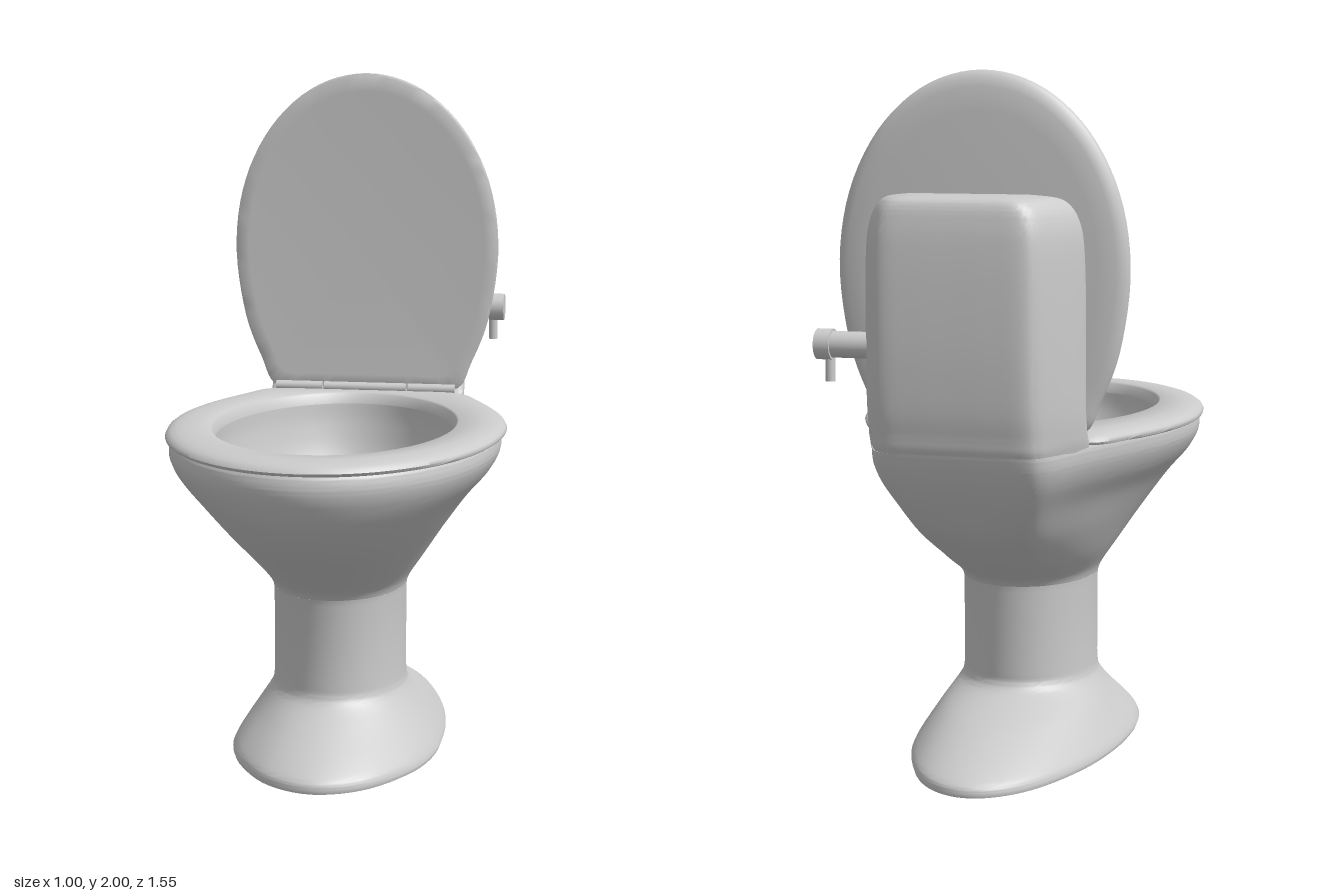
import * as THREE from 'three';
import { toCreasedNormals } from 'three/addons/utils/BufferGeometryUtils.js';

const HALF = 48; // steps along one half of a ring
const V2 = (a) => new THREE.Vector2(a[0], a[1]);
const material = new THREE.MeshStandardMaterial({ color: 0xcccccc });

// Half outline of [x, z] points, front to back, sampled as a curve that stays smooth across the mirror line
function sample(points) {
  const n = points.length;
  const mirror = ([x, z]) => [-x, z];
  const curve = new THREE.SplineCurve([mirror(points[1]), ...points, mirror(points[n - 2])].map(V2));
  return Array.from({ length: HALF + 1 }, (_, i) => curve.getPoint((1 + ((n - 1) * i) / HALF) / (n + 1)));
}
const circle = Array.from({ length: HALF + 1 }, (_, i) => {
  const a = (Math.PI * i) / HALF;
  return new THREE.Vector2(Math.sin(a), Math.cos(a));
});
// Unit circle pushed toward an outline by k, direction by direction
const blend = (outline, k) => outline.map((p) => p.clone().normalize().lerp(p, k));

// Mirrors a half outline into a closed ring at height y
function ring(half, y, sx = 1, sz = 1, z0 = 0) {
  const right = half.map((p) => new THREE.Vector3(p.x * sx, y, z0 + p.y * sz));
  const left = right.slice(1, -1).reverse().map((p) => new THREE.Vector3(-p.x, y, p.z));
  return [...right, ...left];
}

// Ring fitted between a front and a back z
const fit = (half, [y, w, front, back]) => ring(half, y, w, (front - back) / 2, (front + back) / 2);

// Smooth interpolation of [y, halfWidth, front, back] rows
function refine(rows, n) {
  const a = new THREE.SplineCurve(rows.map((r) => V2([r[0], r[1]]))).getPoints(n);
  const b = new THREE.SplineCurve(rows.map((r) => V2([r[2], r[3]]))).getPoints(n);
  return a.map((p, i) => [p.x, p.y, b[i].x, b[i].y]);
}

// Skin through rings, with optional end caps
function loft(name, rings, { start = false, end = false, crease = 0.8 } = {}) {
  const n = rings[0].length;
  const pos = [];
  const index = [];
  rings.forEach((r) => r.forEach((p) => pos.push(p.x, p.y, p.z)));
  for (let k = 0; k < rings.length - 1; k++) {
    for (let i = 0; i < n; i++) {
      const j = (i + 1) % n;
      const a = k * n + i, b = k * n + j, c = a + n, d = b + n;
      index.push(a, b, d, a, d, c);
    }
  }
  const cap = (k, flip) => {
    const mid = new THREE.Vector3();
    rings[k].forEach((p) => mid.addScaledVector(p, 1 / n));
    const m = pos.length / 3;
    pos.push(mid.x, mid.y, mid.z);
    for (let i = 0; i < n; i++) {
      const a = k * n + i, b = k * n + ((i + 1) % n);
      if (flip) index.push(m, b, a);
      else index.push(m, a, b);
    }
  };
  if (start) cap(0, true);
  if (end) cap(rings.length - 1, false);
  const geo = new THREE.BufferGeometry();
  geo.setAttribute('position', new THREE.Float32BufferAttribute(pos, 3));
  geo.setIndex(index);
  const mesh = new THREE.Mesh(toCreasedNormals(geo, crease), material);
  mesh.name = name;
  return mesh;
}

function rod(name, radius, length, x, y, z, alongX = true) {
  const geo = new THREE.CylinderGeometry(radius, radius, length, 24);
  if (alongX) geo.rotateZ(Math.PI / 2);
  const mesh = new THREE.Mesh(geo, material);
  mesh.position.set(x, y, z);
  mesh.name = name;
  return mesh;
}

export function createModel() {
  const group = new THREE.Group();
  group.name = 'toilet';

  // Foot, broad in front and narrow behind, flaring out of an elliptical column
  const sole = sample([
    [0, 1], [0.46, 0.9], [0.81, 0.65], [0.96, 0.42], [1, 0.18],
    [0.97, -0.1], [0.85, -0.42], [0.61, -0.74], [0.33, -0.93], [0, -1],
  ]);
  const foot = refine([
    [0.015, 0.315, 0.555, -0.69], [0.035, 0.305, 0.545, -0.675], [0.07, 0.283, 0.49, -0.59],
    [0.12, 0.25, 0.4, -0.44], [0.17, 0.217, 0.315, -0.275], [0.2, 0.202, 0.288, -0.228],
    [0.24, 0.198, 0.285, -0.225],
  ], 36);
  const column = [[0.48, 0.198, 0.285, -0.225], [0.5, 0.2, 0.29, -0.228]];
  group.add(loft('pedestal', [[0, 0.31, 0.55, -0.685], ...foot, ...column].map(
    (r) => fit(blend(sole, 1 - THREE.MathUtils.smoothstep(r[0], 0.03, 0.2)), r),
  ), { start: true }));

  // Bowl shell: ellipse at the column blending to an egg with a squared back at the rim
  const egg = sample([
    [0, 1], [0.38, 0.93], [0.71, 0.736], [0.925, 0.444], [1, 0.1], [0.93, -0.22], [0.79, -0.48],
    [0.636, -0.732], [0.545, -0.895], [0.483, -0.967], [0.4, -0.996], [0.2, -1], [0, -1],
  ]);
  const shell = refine([
    [0.5, 0.2, 0.29, -0.228], [0.53, 0.213, 0.318, -0.262], [0.6, 0.26, 0.43, -0.405],
    [0.7, 0.325, 0.595, -0.565], [0.8, 0.395, 0.71, -0.655], [0.87, 0.455, 0.757, -0.703],
    [0.92, 0.482, 0.775, -0.728], [0.955, 0.485, 0.773, -0.74], [0.97, 0.481, 0.766, -0.744],
  ], 48);
  const shellRings = shell.map((r) => fit(blend(egg, THREE.MathUtils.smoothstep(r[0], 0.48, 0.82)), r));
  // Hollow narrowing to a rounded drain
  const basin = refine([
    [0.972, 0.35, 0.625, -0.375], [0.9, 0.345, 0.61, -0.365], [0.8, 0.315, 0.55, -0.335],
    [0.68, 0.235, 0.4, -0.265], [0.58, 0.145, 0.22, -0.185], [0.53, 0.105, 0.125, -0.15],
    [0.46, 0.095, 0.11, -0.14], [0.4, 0.075, 0.06, -0.13], [0.36, 0.025, -0.01, -0.08],
  ], 48);
  group.add(loft('bowl', [...shellRings, ...basin.map((r) => fit(blend(egg, 0), r))], { end: true }));

  // Tank rising out of the back of the bowl
  const tankOutline = sample([
    [0, 1], [0.5, 1], [0.92, 0.99], [1, 0.85], [0.975, 0.45], [0.92, 0.05],
    [0.83, -0.45], [0.74, -0.82], [0.62, -0.975], [0.35, -1], [0, -1],
  ]);
  const tank = refine([
    [0.9, 0.295, -0.46, -0.7], [0.97, 0.31, -0.475, -0.744], [1.02, 0.311, -0.503, -0.755],
    [1.1, 0.311, -0.518, -0.767], [1.25, 0.311, -0.52, -0.775], [1.42, 0.31, -0.521, -0.775],
    [1.54, 0.305, -0.524, -0.77], [1.6, 0.292, -0.53, -0.763], [1.638, 0.27, -0.541, -0.754],
    [1.658, 0.238, -0.562, -0.738], [1.667, 0.17, -0.6, -0.7],
  ], 60);
  group.add(loft('tank', tank.map((r) => fit(tankOutline, r)), { end: true, crease: 1.2 }));

  // Seat ring with a domed outer edge
  const seatOutline = sample([
    [0, 0.775], [0.191, 0.722], [0.354, 0.571], [0.462, 0.346], [0.5, 0.08], [0.465, -0.15],
    [0.385, -0.35], [0.315, -0.465], [0.15, -0.478], [0, -0.478],
  ]);
  const outer = (y, s) => ring(seatOutline, y, s, s, 0.1 * (1 - s));
  const inner = (y, s) => ring(circle, y, 0.355 * s, 0.505 * s, 0.125);
  group.add(loft('seat', [
    inner(0.968, 1), outer(0.968, 0.985), outer(0.972, 0.997), outer(0.978, 1), outer(0.986, 0.992),
    outer(0.994, 0.97), outer(1, 0.935), outer(1.003, 0.88), inner(1.003, 1.015), inner(0.998, 1),
    inner(0.968, 0.98),
  ]));

  // Raised lid, modelled flat and swung upright, with a domed back
  const lidOutline = sample([
    [0, 1], [0.161, 0.959], [0.297, 0.842], [0.388, 0.667], [0.42, 0.46],
    [0.393, 0.24], [0.338, 0.09], [0.29, 0.005], [0.15, 0], [0, 0],
  ]);
  const lidRing = (y, s) => ring(lidOutline, y, s, s, 0.45 * (1 - s));
  const lid = loft('lid', [
    lidRing(0.002, 0.9), lidRing(0, 0.985), lidRing(0.004, 0.998), lidRing(0.012, 1), lidRing(0.022, 0.99),
    lidRing(0.032, 0.965), lidRing(0.039, 0.92), lidRing(0.043, 0.8),
  ], { start: true, end: true });
  lid.rotation.x = -Math.PI / 2;
  lid.position.set(0, 1, -0.467);
  group.add(lid);

  // Hinge barrels
  for (const [x, length] of [[-0.213, 0.15], [0, 0.265], [0.213, 0.15]]) {
    group.add(rod('hinge', 0.016, length, x, 1.006, -0.457));
  }

  // Flush handle on the left side
  group.add(rod('handleShaft', 0.037, 0.16, 0.34, 1.25, -0.637));
  group.add(rod('handleCap', 0.043, 0.045, 0.405, 1.25, -0.637));
  group.add(rod('handleLever', 0.014, 0.1, 0.392, 1.197, -0.637, false));

  return group;
}
